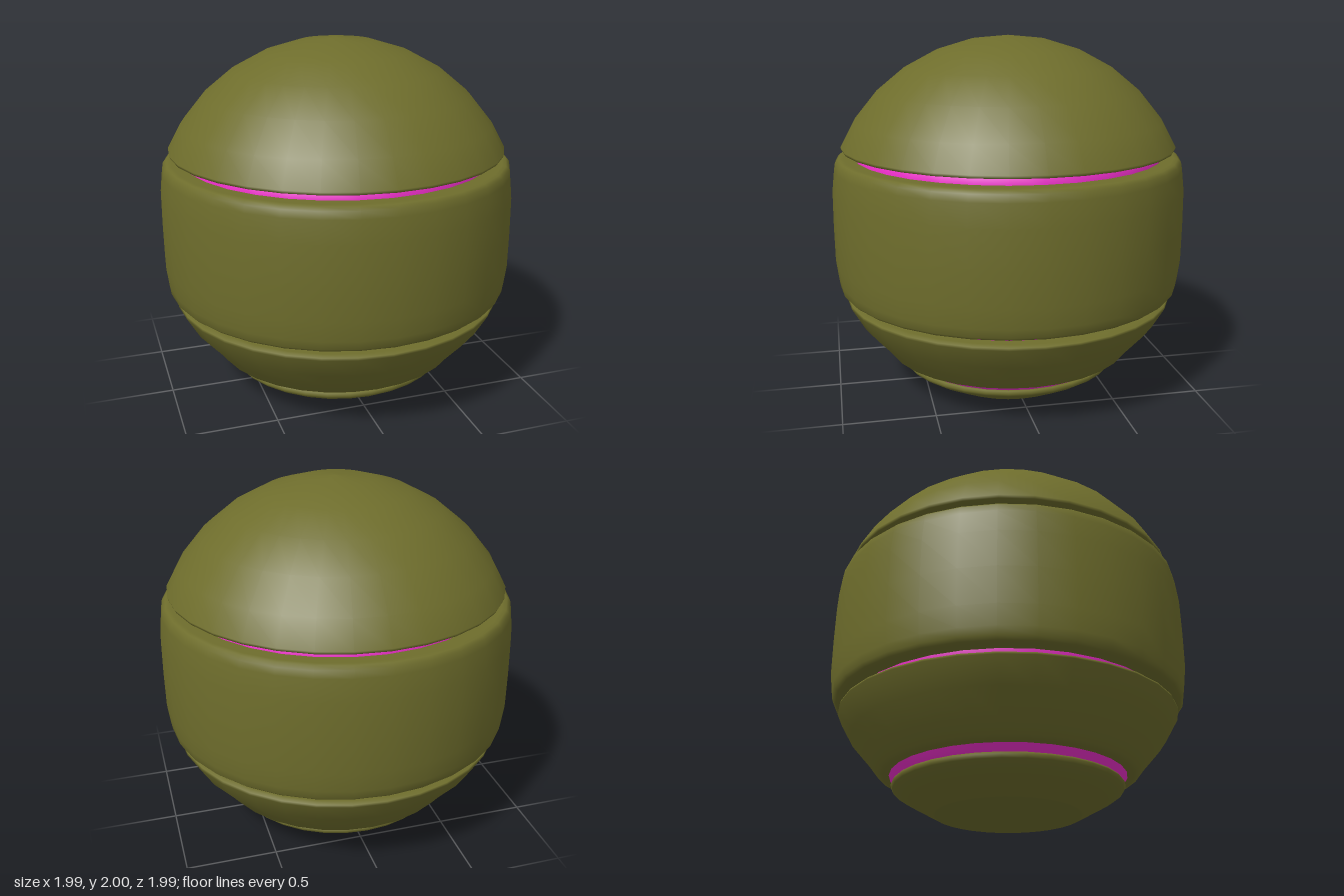
import * as THREE from 'three';

const SEGMENTS = 32;

export function createModel() {
  const model = new THREE.Group();
  const olive = new THREE.MeshStandardMaterial({ color: 0x6e6d2c });
  const pink = new THREE.MeshStandardMaterial({ color: 0xf030cc });

  // Turns an [radius, height] profile, listed from bottom to top on the outside
  const turn = (name, profile, material) => {
    const points = profile.map(([r, y]) => new THREE.Vector2(r, y));
    const mesh = new THREE.Mesh(new THREE.LatheGeometry(points, SEGMENTS), material);
    mesh.name = name;
    model.add(mesh);
  };

  // Inner core, seen only through the grooves
  turn('innerCore', [
    [0, 0.1], [0.56, 0.1], [0.61, 0.16], [0.64, 0.195], [0.75, 0.34], [0.85, 0.54],
    [0.87, 0.59], [0.88, 0.96], [0.868, 1.335], [0.855, 1.385], [0.75, 1.58], [0, 1.6],
  ], pink);

  // Base dish with a flat foot
  turn('baseDish', [
    [0, 0], [0.39, 0], [0.4, 0.002], [0.578, 0.1], [0.62, 0.128],
    [0.63, 0.145], [0.622, 0.158], [0.6, 0.16], [0.5, 0.16],
  ], olive);

  // Lower shell ring
  turn('lowerShell', [
    [0.55, 0.198], [0.64, 0.198], [0.675, 0.201], [0.71, 0.217], [0.76, 0.282],
    [0.864, 0.4], [0.936, 0.525], [0.932, 0.538], [0.9, 0.545], [0.8, 0.545],
  ], olive);

  // Wide middle band with rounded rims
  turn('middleBand', [
    [0.8, 0.585], [0.93, 0.585], [0.953, 0.588], [0.971, 0.605], [0.978, 0.65],
    [0.992, 0.76], [0.994, 0.96], [0.992, 1.16], [0.978, 1.28],
    [0.971, 1.32], [0.953, 1.338], [0.93, 1.34], [0.8, 1.34],
  ], olive);

  // Top dome: a sphere cap with a bevelled lower rim
  const dome = [[0.8, 1.382], [0.9, 1.382], [0.932, 1.386], [0.938, 1.402]];
  for (let i = 5; i >= 0; i--) {
    const a = (i * Math.PI) / 16;
    dome.push([1.04 * Math.sin(a), 0.96 + 1.04 * Math.cos(a)]);
  }
  turn('topDome', dome, olive);

  return model;
}
